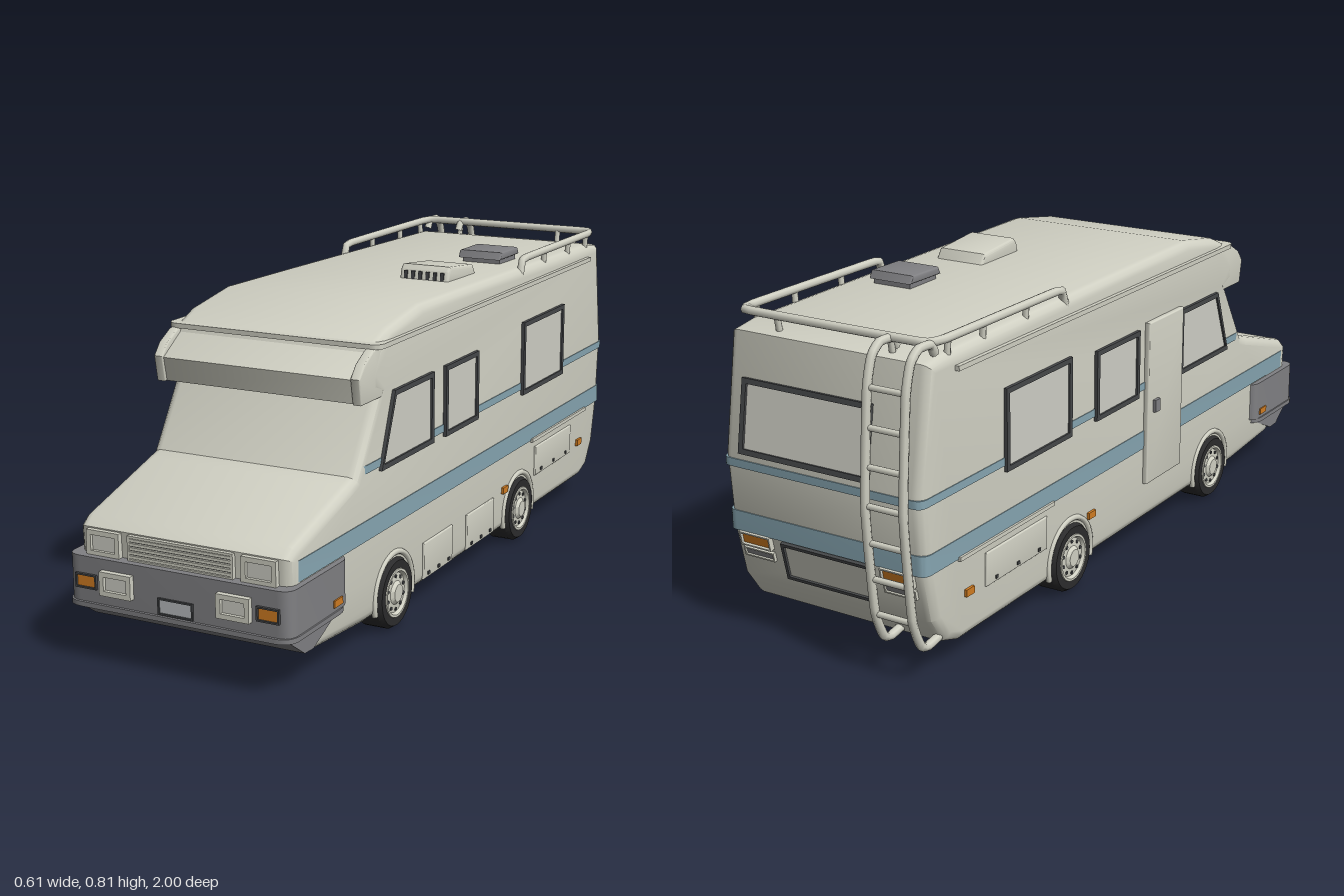
import * as THREE from 'three';
import { toCreasedNormals } from 'three/addons/utils/BufferGeometryUtils.js';

const mat = (name, color) => Object.assign(new THREE.MeshStandardMaterial({ color }), { name });

export function createModel() {
  const shell = mat('cream shell', 0xd0d0c3), glass = mat('pale glass', 0xcecec5);
  const grey = mat('bumper grey', 0x808083), trim = mat('dark trim', 0x46484a);
  const rubber = mat('tyre rubber', 0x2b2b2c), blue = mat('stripe blue', 0x86a5b1);
  const amber = mat('amber lens', 0xd07c22), plateMat = mat('plate silver', 0xb9bdc0);

  const root = new THREE.Group();
  root.name = 'motorhome';

  const add = (name, geo, m, parent = root) => {
    const mesh = new THREE.Mesh(geo, m);
    mesh.name = name;
    parent.add(mesh);
    return mesh;
  };
  const outline = (pts) => new THREE.Shape(pts.map(([a, b]) => new THREE.Vector2(a, b)));
  const rect = (a0, a1, b0, b1) => [[a0, b0], [a1, b0], [a1, b1], [a0, b1]];
  const box = (name, m, x0, x1, y0, y1, z0, z1) =>
    add(name, new THREE.BoxGeometry(x1 - x0, y1 - y0, z1 - z0), m)
      .position.set((x0 + x1) / 2, (y0 + y1) / 2, (z0 + z1) / 2);

  // Shape of (z, y) points extruded across x between two planes
  const across = (shape, xa, xb, bevel = 0) => {
    const w = Math.abs(xb - xa);
    const g = new THREE.ExtrudeGeometry(shape, {
      depth: w - 2 * bevel, bevelEnabled: bevel > 0, bevelSize: bevel, bevelThickness: bevel,
      bevelOffset: -bevel, bevelSegments: 3,
    });
    g.translate(0, 0, bevel - w / 2).rotateY(-Math.PI / 2).translate((xa + xb) / 2, 0, 0);
    return toCreasedNormals(g, 0.6);
  };
  // Outline shrunk by a border of width w
  const inset = (pts, w) => {
    const a = pts.map((p) => p[0]), b = pts.map((p) => p[1]);
    const a0 = Math.min(...a), a1 = Math.max(...a), b0 = Math.min(...b), b1 = Math.max(...b);
    const fa = 1 - (2 * w) / (a1 - a0), fb = 1 - (2 * w) / (b1 - b0);
    const ca = (a0 + a1) / 2, cb = (b0 + b1) / 2;
    return pts.map(([p, q]) => [ca + (p - ca) * fa, cb + (q - cb) * fb]);
  };
  const ring = (pts, w) => {
    const s = outline(pts);
    s.holes.push(new THREE.Path(outline(inset(pts, w)).getPoints().reverse()));
    return s;
  };
  // Plan-view rounded slab, extruded up y
  const slab = (hx, z0, z1, y0, y1, r) => {
    const s = new THREE.Shape();
    s.moveTo(-hx + r, z0).lineTo(hx - r, z0).quadraticCurveTo(hx, z0, hx, z0 + r);
    s.lineTo(hx, z1 - r).quadraticCurveTo(hx, z1, hx - r, z1);
    s.lineTo(-hx + r, z1).quadraticCurveTo(-hx, z1, -hx, z1 - r);
    s.lineTo(-hx, z0 + r).quadraticCurveTo(-hx, z0, -hx + r, z0);
    const g = new THREE.ExtrudeGeometry(s, { depth: y1 - y0, bevelEnabled: false, curveSegments: 6 });
    return toCreasedNormals(g.rotateX(Math.PI / 2).translate(0, y1, 0), 0.6);
  };
  // Framed panel facing +z, centred on its own origin
  const framed = (name, w, h, border, depth, frameMat, panelMat) => {
    const g = new THREE.Group();
    g.name = name;
    root.add(g);
    const geo = new THREE.ExtrudeGeometry(ring(rect(-w / 2, w / 2, -h / 2, h / 2), border),
      { depth, bevelEnabled: false });
    add(name + 'Frame', geo, frameMat, g);
    add(name + 'Panel', new THREE.BoxGeometry(w - border, h - border, depth * 0.5), panelMat, g)
      .position.z = depth * 0.25;
    return g;
  };
  const tube = (name, pts, r, m = shell) => {
    const c = new THREE.CatmullRomCurve3(pts.map((p) => new THREE.Vector3(...p)), false, 'catmullrom', 0.25);
    add(name, new THREE.TubeGeometry(c, pts.length * 6, r, 8), m);
  };

  // Coach body
  const profile = [[-0.80, 0.055], [0.6, 0.057], [0.84, 0.075], [0.91, 0.12], [0.95, 0.17], [0.957, 0.325],
    [0.93, 0.347], [0.68, 0.42], [0.645, 0.43], [0.535, 0.6], [0.57, 0.61], [0.575, 0.66], [0.54, 0.722],
    [0.47, 0.752], [0.3, 0.78], [0, 0.776], [-0.83, 0.762], [-0.905, 0.75], [-0.95, 0.46],
    [-0.935, 0.27], [-0.905, 0.14], [-0.86, 0.075]];
  add('body', across(outline(profile), -0.283, 0.283, 0.025), shell);

  // Visor over the windscreen with raised cheeks
  add('visor', across(outline([[0.52, 0.597], [0.612, 0.597], [0.625, 0.657], [0.54, 0.712]]),
    -0.27, 0.27, 0.004), shell);
  for (const s of [-1, 1]) {
    add('visorCheek', across(outline([[0.51, 0.596], [0.618, 0.596], [0.63, 0.66], [0.605, 0.69],
      [0.56, 0.715], [0.51, 0.722]]), s * 0.257, s * 0.282, 0.004), shell);
  }

  // Roof gutter
  for (const s of [-1, 1]) {
    const x = s * 0.286;
    box('roofGutter', shell, x - 0.008, x + 0.008, 0.715, 0.727, -0.81, 0.53);
  }
  add('roofFrontLip', slab(0.294, 0.44, 0.552, 0.715, 0.727, 0.03), shell);

  // Blue bands wrapping sides and back
  add('wideStripe', slab(0.285, -0.941, 0.935, 0.265, 0.315, 0.025), blue);
  add('narrowStripe', slab(0.285, -0.952, 0.62, 0.43, 0.45, 0.025), blue);

  // Front bumper
  add('bumper', slab(0.298, 0.71, 0.985, 0.152, 0.262, 0.035), grey);
  add('bumperLip', slab(0.302, 0.72, 0.992, 0.14, 0.152, 0.045), grey);
  add('bumperChin', across(outline([[0.74, 0.142], [0.86, 0.088], [0.9, 0.09], [0.975, 0.142]]),
    -0.285, 0.285), grey);

  // Front lamps, grille and number plate
  for (const s of [-1, 1]) {
    framed('headlamp', 0.09, 0.062, 0.012, 0.016, shell, glass).position.set(s * 0.208, 0.291, 0.953);
    framed('fogLamp', 0.086, 0.058, 0.012, 0.018, shell, glass).position.set(s * 0.157, 0.207, 0.981);
    framed('frontIndicator', 0.058, 0.035, 0.004, 0.01, trim, amber).position.set(s * 0.243, 0.203, 0.982);
    box('bumperMarker', amber, s * 0.299 - 0.003, s * 0.299 + 0.003, 0.163, 0.18, 0.75, 0.79);
  }
  framed('grille', 0.282, 0.062, 0.006, 0.014, shell, grey).position.set(0, 0.291, 0.953);
  for (let i = 0; i < 5; i++) {
    const y = 0.271 + i * 0.01;
    box('grilleSlat', shell, -0.136, 0.136, y - 0.0035, y + 0.0035, 0.955, 0.966);
  }
  framed('frontPlate', 0.094, 0.04, 0.004, 0.008, trim, plateMat).position.set(0, 0.175, 0.982);

  // Side windows
  const cab = [[0.25, 0.42], [0.535, 0.42], [0.465, 0.602], [0.25, 0.602]];
  const rear = rect(-0.615, -0.32, 0.415, 0.62);
  const sideWindow = (name, pts, s) => {
    add(name + 'Frame', across(ring(pts, 0.013), s * 0.28, s * 0.292), trim);
    add(name + 'Glass', across(outline(inset(pts, 0.01)), s * 0.281, s * 0.287), glass);
  };
  const middle = { 1: rect(-0.02, 0.18, 0.418, 0.602), '-1': rect(-0.2, 0.02, 0.418, 0.602) };
  for (const s of [-1, 1]) {
    sideWindow('cabWindow', cab, s);
    sideWindow('middleWindow', middle[s], s);
    sideWindow('rearSideWindow', rear, s);
  }

  // Entry door on the right flank
  add('door', across(outline(rect(0.06, 0.25, 0.165, 0.612)), -0.28, -0.297, 0.004), shell);
  box('doorHandle', grey, -0.306, -0.295, 0.362, 0.396, 0.085, 0.11);

  // Storage hatches with latches
  const hatch = (s, z0, z1, y0, y1) => {
    add('hatch', across(outline(rect(z0, z1, y0, y1)), s * 0.278, s * 0.288, 0.003), shell);
    for (const t of [0.15, 0.5, 0.85]) {
      const z = z0 + (z1 - z0) * t;
      box('hatchLatch', trim, s * 0.288 - 0.003, s * 0.288 + 0.003, y0 + 0.008, y0 + 0.016, z - 0.005, z + 0.005);
    }
  };
  hatch(1, 0.125, 0.295, 0.072, 0.168);
  hatch(1, -0.14, 0.035, 0.072, 0.168);
  for (const s of [-1, 1]) {
    hatch(s, -0.7, -0.43, 0.155, 0.24);
    box('awningRail', shell, s * 0.286 - 0.005, s * 0.286 + 0.005, 0.26, 0.27, -0.81, -0.4);
    for (const z of [-0.215, -0.77]) {
      box('sideMarker', amber, s * 0.285 - 0.005, s * 0.285 + 0.005, 0.162, 0.18, z - 0.016, z + 0.016);
    }
  }

  // Wheels and arch flares
  const lathe = (pts) => toCreasedNormals(new THREE.LatheGeometry(
    pts.map(([r, h]) => new THREE.Vector2(r, h)), 32).rotateZ(-Math.PI / 2), 0.6);
  const tyreGeo = lathe([[0, 0], [0.08, 0], [0.09, 0.01], [0.09, 0.066], [0.082, 0.078], [0.06, 0.077]]);
  const hubGeo = lathe([[0.063, 0.074], [0.061, 0.08], [0.055, 0.08], [0.05, 0.072], [0.03, 0.074],
    [0.022, 0.082], [0, 0.082]]);
  const holeGeo = new THREE.CylinderGeometry(0.005, 0.005, 0.004, 8).rotateZ(-Math.PI / 2);
  const archGeo = new THREE.TorusGeometry(0.102, 0.008, 8, 28, Math.PI + 0.6).rotateZ(-0.3).rotateY(Math.PI / 2);
  for (const s of [-1, 1]) for (const z of [0.455, -0.315]) {
    const wheel = new THREE.Group();
    wheel.name = 'wheel';
    wheel.position.set(s * 0.215, 0.09, z);
    if (s < 0) wheel.rotation.y = Math.PI;
    root.add(wheel);
    add('tyre', tyreGeo, rubber, wheel);
    add('hub', hubGeo, shell, wheel);
    for (let i = 0; i < 10; i++) {
      const a = (i / 10) * Math.PI * 2;
      add('hubHole', holeGeo, trim, wheel).position.set(0.073, Math.cos(a) * 0.042, Math.sin(a) * 0.042);
    }
    add('wheelArch', archGeo, shell).position.set(s * 0.282, 0.09, z);
  }

  // Rear window, plate recess and lamps
  const onBack = (g, x, y, z, tilt) => {
    g.position.set(x, y, z);
    g.rotation.set(tilt, Math.PI, 0);
  };
  onBack(framed('rearWindow', 0.37, 0.18, 0.013, 0.012, trim, glass), 0.045, 0.555, -0.933, 0.153);
  onBack(framed('rearPlateRecess', 0.26, 0.1, 0.008, 0.012, trim, shell), 0, 0.212, -0.919, -0.225);
  for (const s of [-1, 1]) {
    onBack(framed('tailLamp', 0.09, 0.036, 0.004, 0.014, shell, amber), s * 0.205, 0.25, -0.93, -0.2);
    onBack(framed('reverseLamp', 0.09, 0.024, 0.004, 0.01, shell, grey), s * 0.205, 0.212, -0.92, -0.225);
  }

  // Rear ladder
  const rail = [[-0.86, 0.765], [-0.875, 0.788], [-0.92, 0.79], [-0.95, 0.765], [-0.97, 0.69], [-0.988, 0.42],
    [-0.965, 0.17], [-0.935, 0.095], [-0.91, 0.083], [-0.865, 0.09]];
  for (const x of [-0.264, -0.16]) tube('ladderRail', rail.map(([z, y]) => [x, y, z]), 0.011);
  for (const [y, z] of [[0.7, -0.967], [0.61, -0.975], [0.52, -0.981], [0.43, -0.987], [0.34, -0.981],
    [0.25, -0.973], [0.16, -0.962]]) {
    tube('ladderRung', [[-0.264, y, z], [-0.16, y, z]], 0.008);
  }

  // Roof rack
  const half = [[0.272, 0.745, -0.325], [0.272, 0.782, -0.34], [0.272, 0.792, -0.37], [0.272, 0.792, -0.82],
    [0.265, 0.792, -0.86], [0.235, 0.792, -0.88]];
  tube('roofRack', [...half, ...half.map(([x, y, z]) => [-x, y, z]).reverse()], 0.011);
  for (const s of [-1, 1]) {
    for (const z of [-0.5, -0.68, -0.82]) tube('rackPost', [[s * 0.268, 0.735, z], [s * 0.272, 0.792, z]], 0.008);
    tube('rackPost', [[s * 0.16, 0.74, -0.87], [s * 0.16, 0.792, -0.88]], 0.008);
  }

  // Roof vent cowl with front slots, and a grey hatch
  add('roofVent', across(outline([[-0.19, 0.765], [-0.01, 0.765], [-0.018, 0.8], [-0.03, 0.812],
    [-0.17, 0.798]]), 0.062, 0.203, 0.008), shell);
  for (let i = 0; i < 6; i++) {
    const x = 0.08 + i * 0.021;
    box('ventSlot', trim, x - 0.005, x + 0.005, 0.776, 0.797, -0.024, -0.012);
  }
  add('skylightBase', across(outline(rect(-0.46, -0.35, 0.76, 0.785)), 0.09, 0.2), grey);
  add('skylightLid', across(outline([[-0.47, 0.782], [-0.34, 0.782], [-0.35, 0.802], [-0.46, 0.802]]),
    0.08, 0.208, 0.006), grey);

  return root;
}
